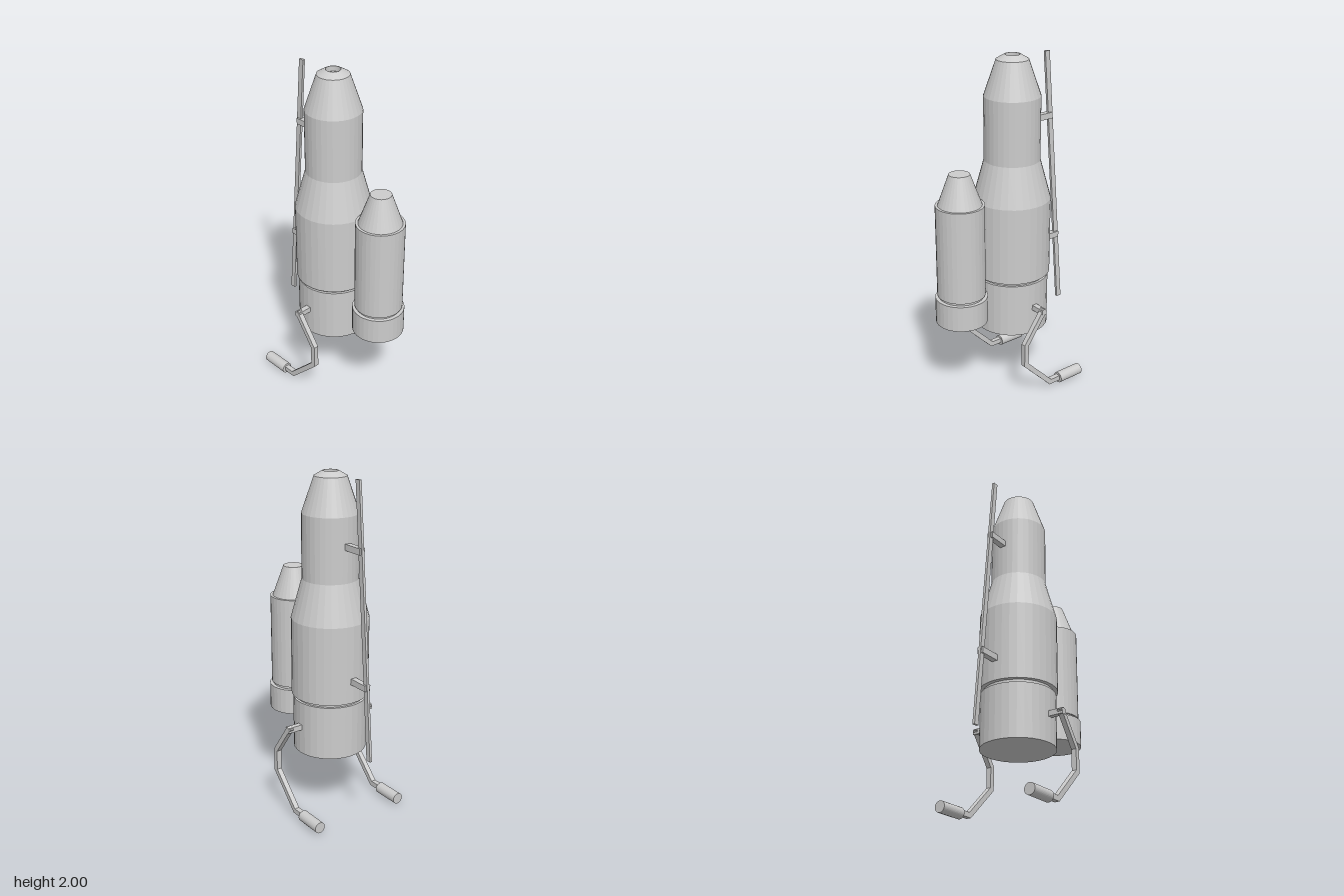
import * as THREE from 'three';

const material = new THREE.MeshStandardMaterial({ color: 0xcccccc, flatShading: true });

function add(parent, name, geometry, x = 0, y = 0, z = 0) {
  const mesh = new THREE.Mesh(geometry, material);
  mesh.name = name;
  mesh.position.set(x, y, z);
  parent.add(mesh);
  return mesh;
}

// Turned solid from [radius, height] pairs, bottom to top
const turned = (pairs) =>
  new THREE.LatheGeometry(pairs.map(([r, y]) => new THREE.Vector2(r, y)), 32);

// Flat outline in x/y extruded symmetrically along z
function plate(points, depth) {
  const shape = new THREE.Shape(points.map(([x, y]) => new THREE.Vector2(x, y)));
  return new THREE.ExtrudeGeometry(shape, { depth, bevelEnabled: false }).translate(0, 0, -depth / 2);
}

// Square bar following an x/y path with mitred corners
function bentBar(path, width) {
  const p = path.map(([x, y]) => new THREE.Vector2(x, y));
  const left = [], right = [];
  p.forEach((point, i) => {
    const a = p[Math.max(i - 1, 0)], b = p[Math.min(i + 1, p.length - 1)];
    const d1 = (i > 0 ? point.clone().sub(a) : b.clone().sub(point)).normalize();
    const d2 = (i < p.length - 1 ? b.clone().sub(point) : d1.clone()).normalize();
    const n1 = new THREE.Vector2(-d1.y, d1.x), n2 = new THREE.Vector2(-d2.y, d2.x);
    const miter = n1.clone().add(n2).normalize();
    miter.multiplyScalar(width / 2 / miter.dot(n1));
    left.push([point.x + miter.x, point.y + miter.y]);
    right.unshift([point.x - miter.x, point.y - miter.y]);
  });
  return plate([...left, ...right], width);
}

export function createModel() {
  const model = new THREE.Group();
  model.name = 'rocket';
  const cx = -0.066;

  // Main body with grooved waist, tapered shoulders and a recessed nose
  add(model, 'mainBody', turned([
    [0, 0.37], [0.215, 0.37], [0.215, 0.69], [0.2, 0.69], [0.2, 0.71],
    [0.225, 0.71], [0.225, 1.17], [0.162, 1.4], [0.162, 1.77], [0.092, 1.973],
    [0.046, 2], [0.042, 2], [0.042, 1.97], [0, 1.97],
  ]), cx);

  // Smaller side booster
  add(model, 'sideBooster', turned([
    [0, 0.49], [0.152, 0.49], [0.152, 0.645], [0.13, 0.645], [0.13, 0.66],
    [0.14, 0.66], [0.14, 1.21], [0.125, 1.21], [0.06, 1.39], [0, 1.39],
  ]), 0.306);

  // Slanted rail and its two brackets
  add(model, 'rail', plate([[-0.462, 0.405], [-0.43, 0.405], [-0.298, 1.985], [-0.33, 1.985]], 0.015));
  for (const [x0, x1, y] of [[-0.42, -0.27, 0.843], [-0.352, -0.21, 1.607]]) {
    add(model, 'railBracket', new THREE.BoxGeometry(x1 - x0, 0.036, 0.036), (x0 + x1) / 2, y, 0);
  }

  // Bent legs with cylindrical feet, front and back
  const legPath = [[-0.076, 0.549], [0.064, 0.358], [0.064, 0.228], [-0.128, 0.037], [-0.21, 0.037]];
  for (const side of [1, -1]) {
    const leg = new THREE.Group();
    leg.name = side > 0 ? 'frontLeg' : 'backLeg';
    leg.position.z = 0.288 * side;
    add(leg, 'legBar', bentBar(legPath, 0.03));
    add(leg, 'legStrut', new THREE.BoxGeometry(0.032, 0.032, 0.115), cx, 0.535, -0.042 * side);
    add(leg, 'foot', new THREE.CylinderGeometry(0.033, 0.033, 0.168, 32).rotateZ(Math.PI / 2), -0.284, 0.034, 0);
    model.add(leg);
  }
  return model;
}
